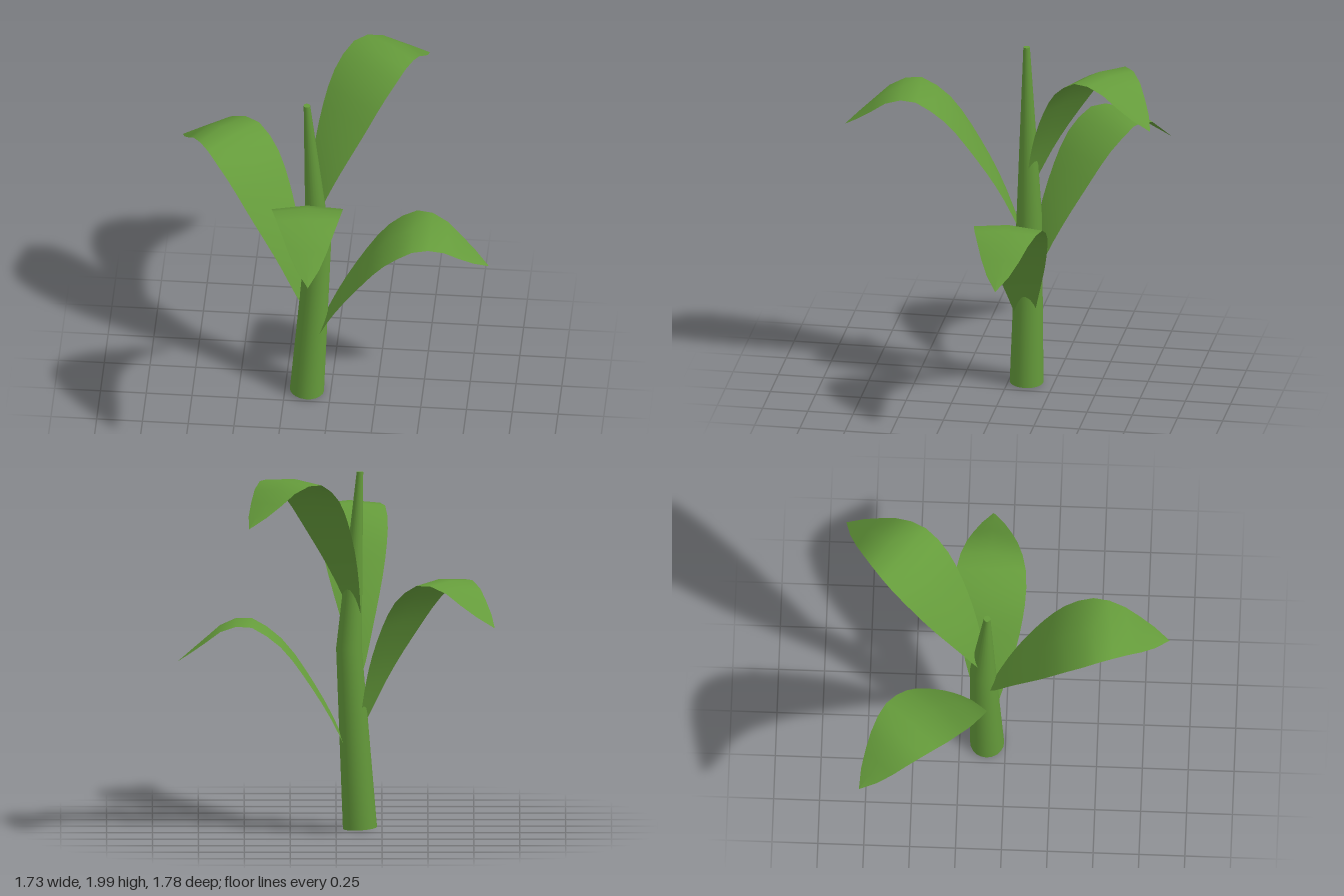
import * as THREE from 'three';

// Stem rings from bottom to top: x, y, z, radius
const STEM = [
  [-0.13, 0.007, -0.1, 0.093],
  [-0.07, 1.0, -0.125, 0.07],
  [-0.13, 1.965, -0.1, 0.018],
];

// Arching midrib of a leaf: distance from the stem, height above its base
const MIDRIB = [
  [0, 0], [0.13, 0.325], [0.26, 0.56], [0.405, 0.765], [0.515, 0.855],
  [0.62, 0.9], [0.75, 0.865], [0.855, 0.78], [0.995, 0.66],
];
const LEAF_LENGTH = 0.995;
const GOLDEN_ANGLE = THREE.MathUtils.degToRad(137.5);

// Tapered stem with a gentle bend halfway up
function stemGeometry() {
  const geometry = new THREE.CylinderGeometry(1, 1, 2, 20, 2);
  const pos = geometry.attributes.position;
  for (let i = 0; i < pos.count; i++) {
    const level = Math.round(pos.getY(i)) + 1;
    const [cx, cy, cz, r] = STEM[level];
    const x = pos.getX(i) * r, z = pos.getZ(i) * r;
    const tilt = level === 0 ? -0.06 * x + 0.025 * z : 0; // foot square to the lean
    pos.setXYZ(i, cx + x, cy + tilt, cz + z);
  }
  return geometry;
}

// Leaf blade along +x: pointed outline, slightly folded down along the midrib
function leafGeometry() {
  const curve = new THREE.CatmullRomCurve3(MIDRIB.map(([r, y]) => new THREE.Vector3(r, y, 0)));
  const segments = 16;
  const positions = [], indices = [];
  for (let i = 0; i <= segments; i++) {
    const p = curve.getPointAt(i / segments);
    const t = curve.getTangentAt(i / segments);
    const u = THREE.MathUtils.clamp(p.x / LEAF_LENGTH, 0, 1);
    const half = 0.195 * Math.pow(Math.max(0, Math.sin(Math.PI * u)), 0.8);
    const fold = half * 0.1;
    for (const side of [-1, 0, 1]) {
      const drop = Math.abs(side) * fold;
      positions.push(p.x + t.y * drop, p.y - t.x * drop, side * half);
    }
    if (i === segments) break;
    for (let j = 0; j < 2; j++) {
      const a = i * 3 + j, b = a + 1, c = a + 3, d = a + 4;
      indices.push(a, b, c, b, d, c);
    }
  }
  const geometry = new THREE.BufferGeometry();
  geometry.setAttribute('position', new THREE.Float32BufferAttribute(positions, 3));
  geometry.setIndex(indices);
  geometry.computeVertexNormals();
  return geometry;
}

export function createModel() {
  const green = new THREE.MeshStandardMaterial({ color: 0x659b3b, side: THREE.DoubleSide });
  green.name = 'leafGreen';

  const plant = new THREE.Group();
  plant.name = 'plant';

  const stem = new THREE.Mesh(stemGeometry(), green);
  stem.name = 'stem';
  plant.add(stem);

  // Four leaves spiralling up the stem
  const blade = leafGeometry();
  for (let i = 0; i < 4; i++) {
    const leaf = new THREE.Mesh(blade, green);
    leaf.name = `leaf${i + 1}`;
    leaf.position.set(-0.13, 0.26 + 0.28 * i, -0.1);
    leaf.rotation.y = GOLDEN_ANGLE * i;
    plant.add(leaf);
  }
  return plant;
}
